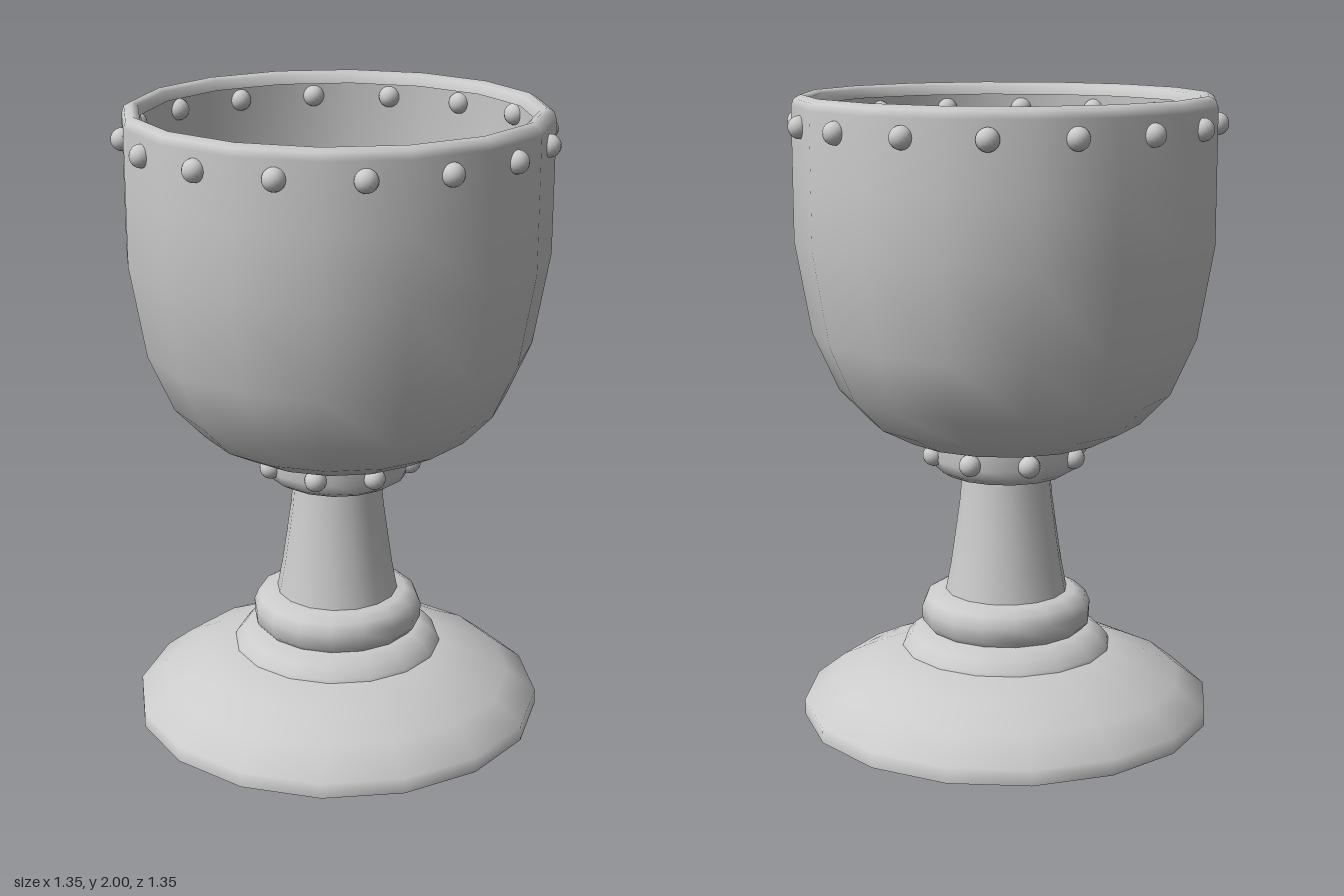
import * as THREE from 'three';

const SIDES = 16;

export function createModel() {
  const group = new THREE.Group();
  group.name = 'goblet';
  const material = new THREE.MeshStandardMaterial({ color: 0xcccccc, side: THREE.DoubleSide });

  // Turned part from [radius, height] pairs
  function turned(name, profile) {
    const points = profile.map(([r, y]) => new THREE.Vector2(r, y));
    const mesh = new THREE.Mesh(new THREE.LatheGeometry(points, SIDES), material);
    mesh.name = name;
    group.add(mesh);
  }

  // Flat disc facing up or down
  function disc(name, radius, y, up) {
    const mesh = new THREE.Mesh(new THREE.CircleGeometry(radius, SIDES), material);
    mesh.rotation.x = up ? -Math.PI / 2 : Math.PI / 2;
    mesh.position.y = y;
    mesh.name = name;
    group.add(mesh);
  }

  // Ring of round studs, half sunk into the wall
  function studs(name, count, radius, y, offset) {
    const ring = new THREE.Group();
    ring.name = name;
    const geometry = new THREE.SphereGeometry(0.035, 16, 12);
    for (let i = 0; i < count; i++) {
      const a = offset + (i / count) * Math.PI * 2;
      const stud = new THREE.Mesh(geometry, material);
      stud.name = 'stud';
      stud.position.set(Math.sin(a) * radius, y, Math.cos(a) * radius);
      ring.add(stud);
    }
    group.add(ring);
  }

  // Foot
  disc('footUnderside', 0.66, 0, false);
  turned('foot', [[0.66, 0], [0.66, 0.05], [0.565, 0.125], [0.45, 0.18], [0.335, 0.225], [0.2, 0.225]]);
  turned('lowerRing', [[0.34, 0.22], [0.335, 0.235], [0.31, 0.265], [0.27, 0.29], [0.2, 0.29]]);
  turned('upperRing', [[0.25, 0.285], [0.273, 0.31], [0.275, 0.355], [0.26, 0.39], [0.225, 0.41], [0.17, 0.412]]);

  // Stem, closed at the top
  turned('stem', [[0.197, 0.41], [0.18, 0.5], [0.164, 0.61], [0.15, 0.71], [0.142, 0.8]]);
  disc('stemTop', 0.142, 0.802, true);

  // Collar, open into the bowl
  turned('collar', [[0.14, 0.8], [0.195, 0.802], [0.225, 0.82], [0.24, 0.855], [0.24, 0.92]]);
  studs('collarStuds', 8, 0.24, 0.87, -0.21);

  // Thin bowl with a rolled rim
  turned('bowl', [
    [0.24, 0.92], [0.33, 0.925], [0.435, 0.98], [0.53, 1.08], [0.61, 1.26],
    [0.66, 1.55], [0.66, 1.76], [0.66, 1.965], [0.652, 1.988], [0.63, 2],
    [0.608, 1.99], [0.6, 1.96],
  ]);
  studs('rimStuds', 16, 0.65, 1.91, Math.PI / 16);

  return group;
}
